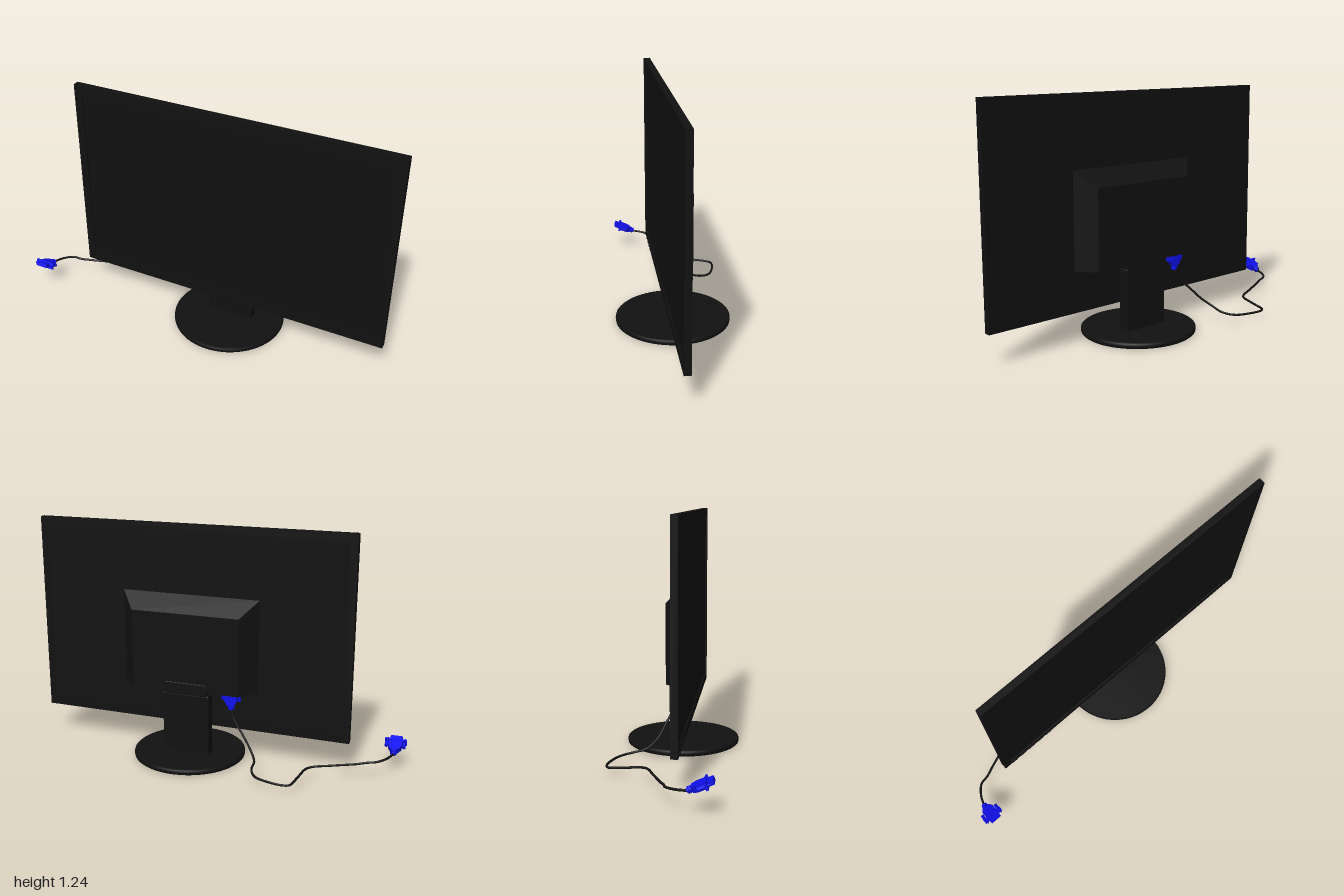
import * as THREE from 'three';
import { RoundedBoxGeometry } from 'three/addons/geometries/RoundedBoxGeometry.js';

const black = new THREE.MeshStandardMaterial({ color: 0x111111 });
const blue = new THREE.MeshStandardMaterial({ color: 0x1010ee });
const CX = 0.135; // middle of the monitor, offset to balance the cable

function add(parent, name, geometry, material, x = 0, y = 0, z = 0) {
  const mesh = new THREE.Mesh(geometry, material);
  mesh.name = name;
  mesh.position.set(x, y, z);
  parent.add(mesh);
  return mesh;
}

const box = (w, h, d) => new THREE.BoxGeometry(w, h, d);

function rectangle(Type, x0, y0, x1, y1) {
  const r = new Type();
  r.moveTo(x0, y0);
  r.lineTo(x1, y0);
  r.lineTo(x1, y1);
  r.lineTo(x0, y1);
  r.closePath();
  return r;
}

// Video plug: cable enters at the origin, pins point along +y
function createPlug(name) {
  const plug = new THREE.Group();
  plug.name = name;
  add(plug, 'strainRelief', new THREE.CylinderGeometry(0.016, 0.011, 0.03, 12), blue, 0, 0.015, 0);
  for (const y of [0.008, 0.018]) {
    add(plug, 'reliefRib', new THREE.CylinderGeometry(0.017, 0.017, 0.004, 12), blue, 0, y, 0);
  }
  // Grip narrows towards the cable
  const grip = rectangle(THREE.Shape, -0.034, 0.045, 0.034, 0.09);
  grip.curves.length = 0;
  grip.setFromPoints([[-0.018, 0.025], [0.018, 0.025], [0.034, 0.05], [0.034, 0.09], [-0.034, 0.09], [-0.034, 0.05]]
    .map(([x, y]) => new THREE.Vector2(x, y)));
  const gripGeometry = new THREE.ExtrudeGeometry(grip, { depth: 0.032, bevelEnabled: false });
  add(plug, 'grip', gripGeometry, blue, 0, 0, -0.016);
  add(plug, 'flange', box(0.112, 0.01, 0.036), blue, 0, 0.092, 0);
  add(plug, 'shield', box(0.062, 0.028, 0.022), blue, 0, 0.111, 0);
  for (const s of [-1, 1]) {
    add(plug, 'thumbScrew', new THREE.CylinderGeometry(0.009, 0.009, 0.04, 10), blue, s * 0.045, 0.073, 0);
    add(plug, 'screwTip', new THREE.CylinderGeometry(0.004, 0.004, 0.02, 8), blue, s * 0.045, 0.105, 0);
  }
  return plug;
}

export function createModel() {
  const model = new THREE.Group();
  model.name = 'monitor';

  // Bezel with a shallow recess for the screen
  const frame = rectangle(THREE.Shape, -0.73, 0.165, 1.0, 1.24);
  frame.holes.push(rectangle(THREE.Path, -0.687, 0.21, 0.957, 1.195));
  const bezel = new THREE.ExtrudeGeometry(frame, { depth: 0.035, bevelEnabled: false });
  add(model, 'bezel', bezel, black, 0, 0, 0.03);
  add(model, 'screen', box(1.645, 0.986, 0.028), black, CX, 0.7025, 0.044);

  // Row of control buttons along the lower edge
  for (let i = 0; i < 5; i++) {
    add(model, 'button', box(0.04, 0.012, 0.006), black, -0.665 + i * 0.06, 0.18, 0.066);
  }

  // Rear housing: box whose back face is drawn in at the top and sides
  const housing = box(0.76, 0.5, 0.089);
  const p = housing.attributes.position;
  for (let i = 0; i < p.count; i++) {
    if (p.getZ(i) < 0) {
      p.setX(i, p.getX(i) * 0.78);
      if (p.getY(i) > 0) p.setY(i, 0.165);
    }
  }
  housing.computeVertexNormals();
  add(model, 'rearHousing', housing, black, CX, 0.625, -0.0135);

  // Stand
  add(model, 'neck', new RoundedBoxGeometry(0.26, 0.345, 0.058, 3, 0.008), black, 0.13, 0.185, -0.029);
  add(model, 'neckMount', new RoundedBoxGeometry(0.24, 0.07, 0.055, 3, 0.008), black, 0.13, 0.385, -0.032);
  const rim = [[0, 0], [0.292, 0], [0.298, 0.005], [0.3, 0.015], [0.298, 0.026], [0.292, 0.031], [0, 0.031]];
  const baseGeometry = new THREE.LatheGeometry(rim.map(([x, y]) => new THREE.Vector2(x, y)), 64);
  add(model, 'base', baseGeometry, black, 0.13, 0, 0.003);

  // Cable from the housing down to the ground and round to the loose plug
  const path = new THREE.CatmullRomCurve3([
    [-0.11, 0.3, -0.012], [-0.13, 0.24, -0.025], [-0.19, 0.172, -0.058], [-0.24, 0.115, -0.09],
    [-0.28, 0.073, -0.14], [-0.285, 0.055, -0.2], [-0.32, 0.046, -0.26], [-0.4, 0.045, -0.295],
    [-0.48, 0.045, -0.305], [-0.51, 0.045, -0.29], [-0.53, 0.055, -0.2], [-0.555, 0.065, -0.11],
    [-0.67, 0.073, -0.055], [-0.78, 0.079, -0.01], [-0.83, 0.085, 0.012], [-0.88, 0.092, 0.025],
    [-0.92, 0.097, 0.07], [-0.945, 0.102, 0.13],
  ].map((v) => new THREE.Vector3(...v)));
  add(model, 'cable', new THREE.TubeGeometry(path, 160, 0.006, 8), black);

  // Plug seated under the housing, and the loose one tilted upwards
  const seated = createPlug('seatedPlug');
  seated.position.set(-0.11, 0.285, -0.012);
  const loose = createPlug('loosePlug');
  loose.position.set(-0.943, 0.102, 0.124);
  loose.rotation.x = THREE.MathUtils.degToRad(66);
  model.add(seated, loose);

  return model;
}
